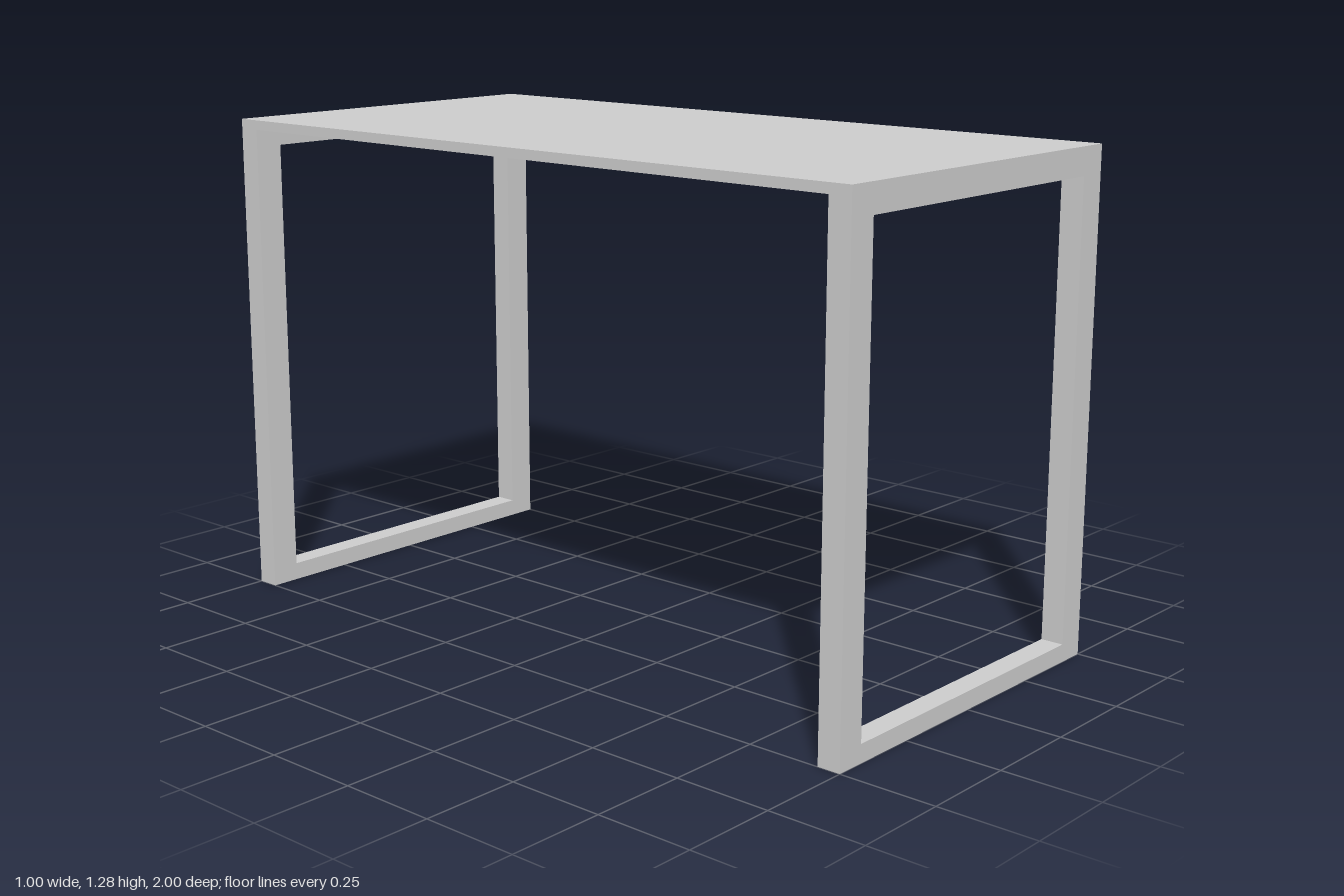
import * as THREE from 'three';

const WIDTH = 1.0, LENGTH = 2.0, HEIGHT = 1.285;
const TOP = 0.025;      // tabletop thickness
const DEPTH = 0.06;     // leg frame depth along z
const POST = 0.077;     // upright width along x
const RAIL_LOW = 0.046, RAIL_HIGH = 1.214; // opening bottom and top

function rectangle(path, x, y0, y1) {
  path.moveTo(-x, y0);
  path.lineTo(x, y0);
  path.lineTo(x, y1);
  path.lineTo(-x, y1);
  path.closePath();
  return path;
}

export function createModel() {
  const group = new THREE.Group();
  group.name = 'table';
  const material = new THREE.MeshStandardMaterial({ color: 0xcccccc });

  // Thin rectangular top, flush with the frames
  const top = new THREE.Mesh(new THREE.BoxGeometry(WIDTH, TOP, LENGTH), material);
  top.name = 'tabletop';
  top.position.y = HEIGHT - TOP / 2;
  group.add(top);

  // Closed rectangular leg frame at each end
  const outline = rectangle(new THREE.Shape(), WIDTH / 2, 0, HEIGHT - TOP);
  outline.holes.push(rectangle(new THREE.Path(), WIDTH / 2 - POST, RAIL_LOW, RAIL_HIGH));
  const frameGeometry = new THREE.ExtrudeGeometry(outline, { depth: DEPTH, bevelEnabled: false });
  frameGeometry.translate(0, 0, -DEPTH / 2);
  for (const [name, side] of [['frontLegFrame', 1], ['backLegFrame', -1]]) {
    const frame = new THREE.Mesh(frameGeometry, material);
    frame.name = name;
    frame.position.z = side * (LENGTH - DEPTH) / 2;
    group.add(frame);
  }

  return group;
}
